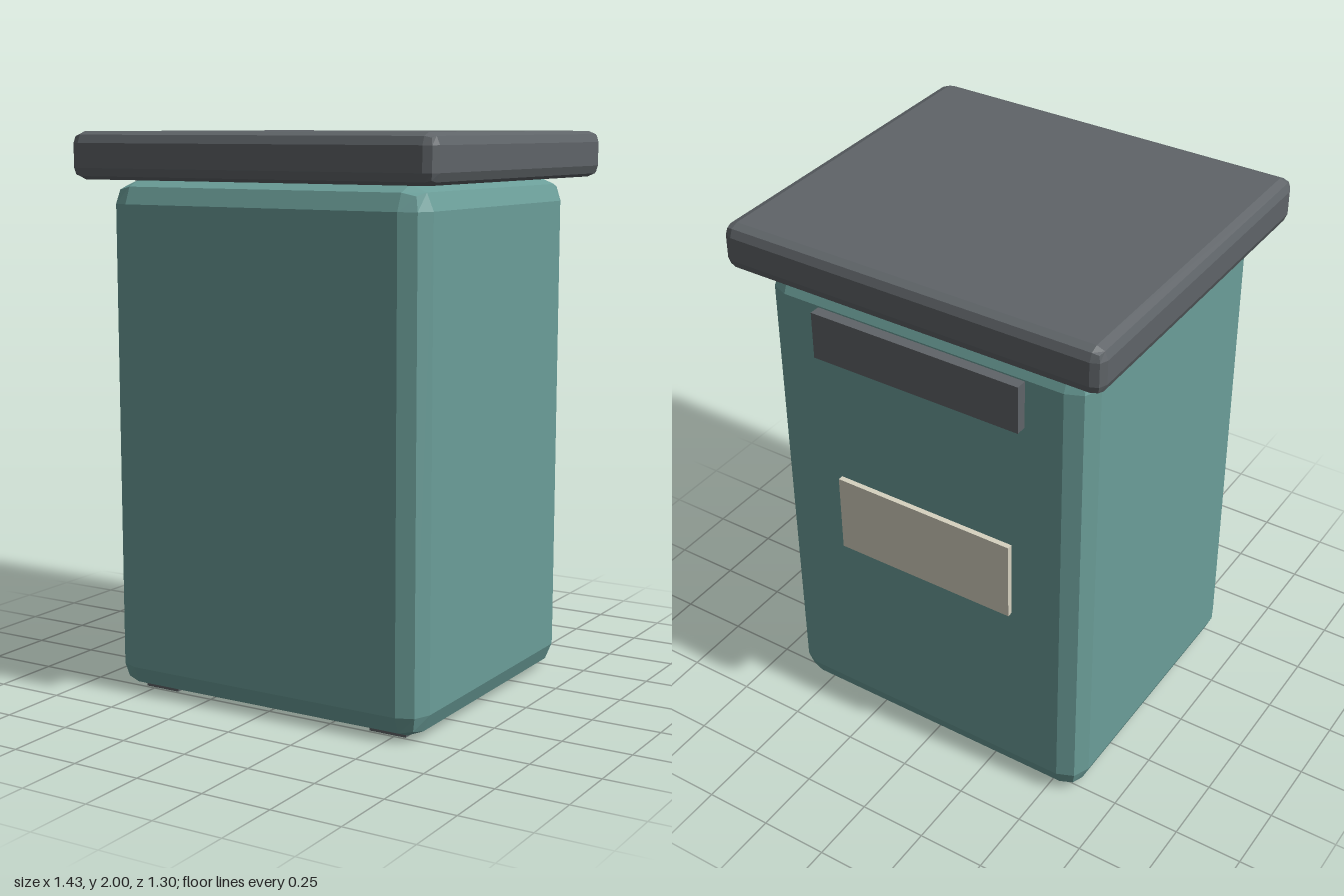
import * as THREE from 'three';
import { RoundedBoxGeometry } from 'three/addons/geometries/RoundedBoxGeometry.js';

const paint = (color) => new THREE.MeshStandardMaterial({ color, flatShading: true });

export function createModel() {
  const bin = new THREE.Group();
  bin.name = 'bin';
  const teal = paint(0x6b9e99);
  const dark = paint(0x5f6468);
  const cream = paint(0xd6d2c0);

  // Places a box by its centre x, its y range and its z range; a radius bevels the edges
  function addBox(name, material, x, width, [y0, y1], [z0, z1], radius = 0) {
    const size = [width, y1 - y0, z1 - z0];
    const geometry = radius
      ? new RoundedBoxGeometry(...size, 1, radius)
      : new THREE.BoxGeometry(...size);
    const mesh = new THREE.Mesh(geometry, material);
    mesh.name = name;
    mesh.position.set(x, (y0 + y1) / 2, (z0 + z1) / 2);
    bin.add(mesh);
  }

  // Bevelled container and overhanging lid
  addBox('body', teal, 0, 1.25, [0.005, 1.835], [-0.565, 0.565], 0.085);
  addBox('lid', dark, 0, 1.43, [1.835, 2], [-0.65, 0.65], 0.04);

  // Handle and label plate on the back
  addBox('handle', dark, 0, 0.8, [1.57, 1.745], [-0.605, -0.54]);
  addBox('labelPlate', cream, 0, 0.7, [0.77, 1.07], [-0.585, -0.55]);

  // Shallow runners just proud of the underside
  for (const side of [-1, 1]) {
    addBox(side > 0 ? 'leftRunner' : 'rightRunner', dark, side * 0.47, 0.14, [0, 0.05], [-0.49, 0.49]);
  }
  return bin;
}
